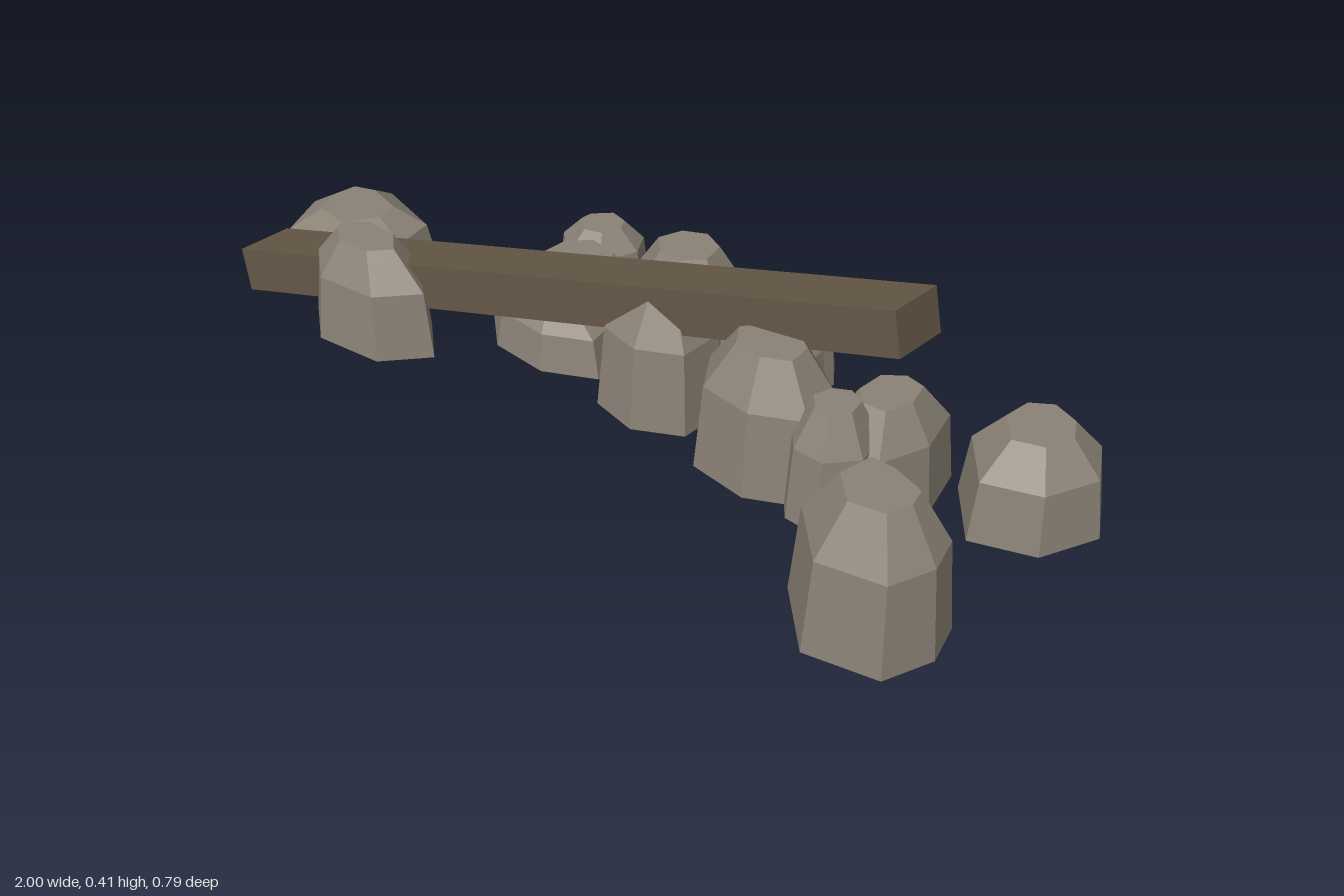
import * as THREE from 'three';

const SIDES = 7;

// Seven-sided uneven footprint; [x, z] corners run clockwise seen from above
function footprint(x, z, rx, rz, turn) {
  return Array.from({ length: SIDES }, (_, i) => {
    const a = turn + (i / SIDES) * Math.PI * 2;
    const k = 0.98 + 0.06 * Math.sin(i * 2.3 + turn * 5);
    return [x + Math.cos(a) * rx * k, z + Math.sin(a) * rz * k];
  });
}

// Boulder: footprint, slightly narrower shoulder, small flat top
function boulderGeometry(points, height) {
  const cx = points.reduce((s, p) => s + p[0], 0) / SIDES;
  const cz = points.reduce((s, p) => s + p[1], 0) / SIDES;
  const pos = [], index = [];
  for (const [scale, level] of [[1, 0], [0.89, 0.66], [0.47, 1]])
    for (const [x, z] of points)
      pos.push(cx + (x - cx) * scale, height * level, cz + (z - cz) * scale);
  pos.push(cx, 0, cz, cx, height, cz);
  const bottom = SIDES * 3, top = bottom + 1;
  for (let i = 0; i < SIDES; i++) {
    const j = (i + 1) % SIDES;
    for (let r = 0; r < 2; r++) {
      const a = r * SIDES + i, b = r * SIDES + j;
      index.push(a, a + SIDES, b, b, a + SIDES, b + SIDES);
    }
    index.push(bottom, i, j, top, 2 * SIDES + j, 2 * SIDES + i);
  }
  const indexed = new THREE.BufferGeometry();
  indexed.setAttribute('position', new THREE.Float32BufferAttribute(pos, 3));
  indexed.setIndex(index);
  const geo = indexed.toNonIndexed();
  geo.computeVertexNormals();
  return geo;
}

export function createModel() {
  const model = new THREE.Group();
  model.name = 'rubblePile';
  const stone = new THREE.MeshStandardMaterial({ color: 0x8b8276, flatShading: true });
  stone.name = 'stone';
  const wood = new THREE.MeshStandardMaterial({ color: 0x635646, flatShading: true });
  wood.name = 'wood';

  const addRock = (name, height, points) => {
    const mesh = new THREE.Mesh(boulderGeometry(points, height), stone);
    mesh.name = name;
    model.add(mesh);
  };

  // Outlying boulders
  addRock('leftBackRock', 0.195, [[0.72, -0.326], [0.81, -0.393], [0.935, -0.353], [1, -0.246], [0.949, -0.118], [0.82, -0.065], [0.71, -0.19]]);
  addRock('leftFrontRock', 0.3, [[0.687, 0.118], [0.79, 0.112], [0.95, 0.155], [0.98, 0.246], [0.944, 0.353], [0.794, 0.393], [0.664, 0.273]]);
  addRock('rightEndRock', 0.12, [[-1, 0.053], [-0.987, -0.07], [-0.885, -0.115], [-0.693, -0.07], [-0.667, 0.043], [-0.751, 0.2], [-0.933, 0.19]]);
  addRock('rightBackRock', 0.14, [[-0.45, -0.294], [-0.377, -0.376], [-0.286, -0.358], [-0.248, -0.294], [-0.281, -0.198], [-0.366, -0.166], [-0.452, -0.235]]);
  addRock('rightFrontRock', 0.23, [[-0.735, 0.21], [-0.64, 0.135], [-0.478, 0.135], [-0.375, 0.219], [-0.452, 0.316], [-0.612, 0.34], [-0.72, 0.26]]);

  // Central heap: name, height, x, z, radius x, radius z, turn
  const heap = [
    ['lowRock', 0.13, -0.23, 0.0, 0.17, 0.11, 0.3],
    ['sideRock', 0.18, -0.235, -0.09, 0.17, 0.145, 0.8],
    ['tallBackRock', 0.277, 0.01, -0.16, 0.14, 0.14, 0.2],
    ['middleRock', 0.285, 0.09, -0.01, 0.135, 0.14, 0.5],
    ['backRock', 0.19, 0.13, -0.22, 0.125, 0.12, 0.1],
    ['smallBackRock', 0.17, 0.235, -0.275, 0.085, 0.08, 0.6],
    ['innerRock', 0.18, 0.25, -0.18, 0.095, 0.12, 0.3],
    ['bigFrontRock', 0.29, 0.385, 0.01, 0.165, 0.135, 0.4],
    ['smallFrontRock', 0.247, 0.565, 0.03, 0.095, 0.105, 0.2],
    ['outerRock', 0.23, 0.605, -0.085, 0.115, 0.155, 0.0],
  ];
  for (const [name, h, x, z, rx, rz, turn] of heap)
    addRock(name, h, footprint(x, z, rx, rz, turn));

  // Fallen beam, slanted across the heap with skewed ends
  const beamGeo = new THREE.BoxGeometry(1.527, 0.1, 0.128);
  const p = beamGeo.attributes.position;
  for (let i = 0; i < p.count; i++) p.setZ(i, p.getZ(i) - p.getX(i) * 0.27);
  beamGeo.computeVertexNormals();
  const beam = new THREE.Mesh(beamGeo, wood);
  beam.name = 'fallenBeam';
  beam.position.set(-0.137, 0.2075, 0.057);
  beam.rotation.z = Math.atan(0.205);
  model.add(beam);

  return model;
}
